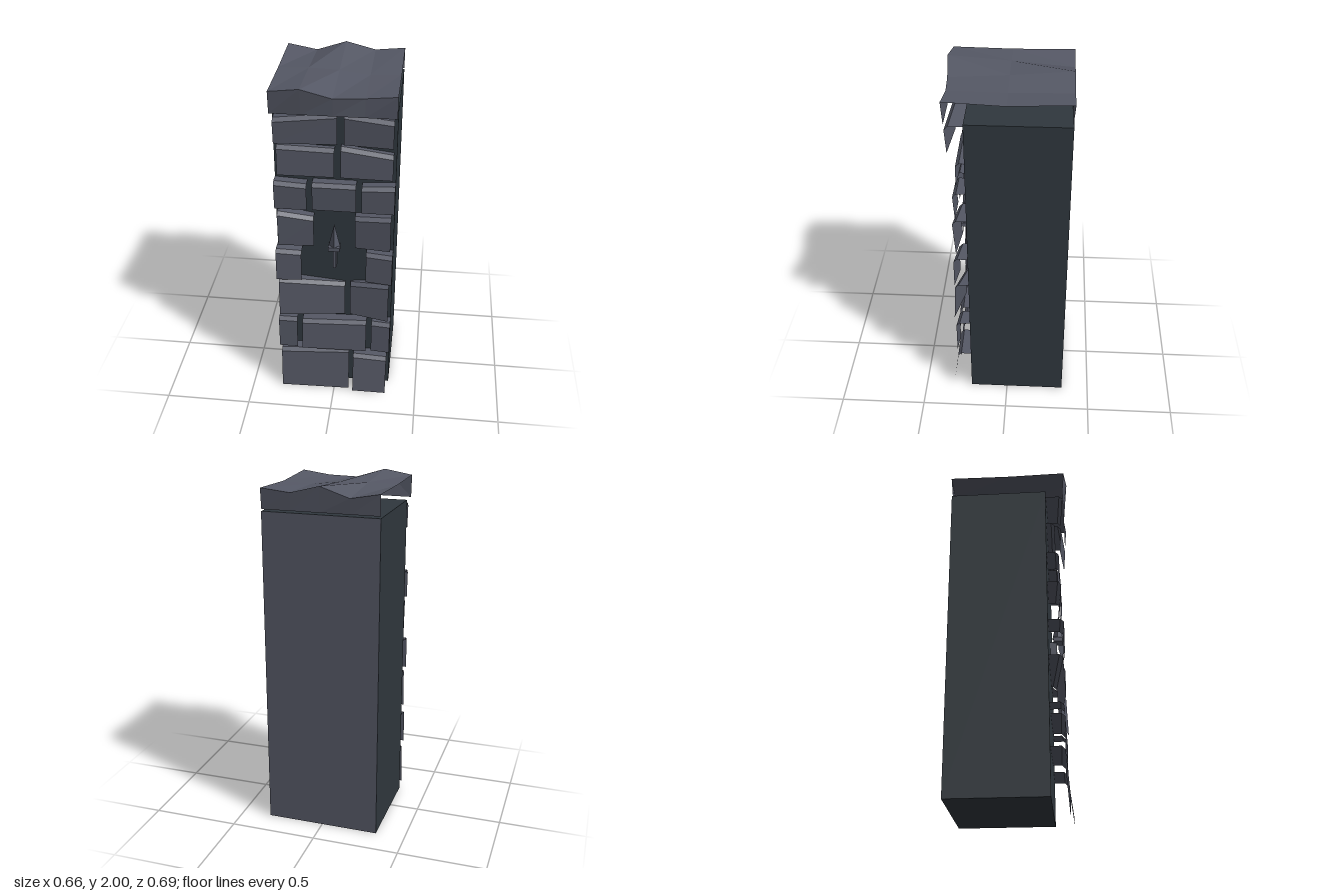
import * as THREE from 'three';

const mortar = new THREE.MeshStandardMaterial({ color: 0x2f373d });
mortar.name = 'dark mortar';
const stone = new THREE.MeshStandardMaterial({ color: 0x555865, side: THREE.DoubleSide });
stone.name = 'grey stone';

// Open flat-shaded sheet through rows of [x, y, z] points (each row runs along +x).
function sheet(name, rows) {
  const pos = [];
  for (let r = 0; r < rows.length - 1; r++) {
    for (let c = 0; c < rows[r].length - 1; c++) {
      const a = rows[r][c], b = rows[r][c + 1];
      const d = rows[r + 1][c + 1], e = rows[r + 1][c];
      pos.push(...a, ...b, ...d, ...a, ...d, ...e);
    }
  }
  const geometry = new THREE.BufferGeometry();
  geometry.setAttribute('position', new THREE.Float32BufferAttribute(pos, 3));
  geometry.computeVertexNormals();
  const mesh = new THREE.Mesh(geometry, stone);
  mesh.name = name;
  return mesh;
}

const CORE_FRONT = 0.22;

// Facing stone: front face, bevelled upper edge and a ledge back to the core.
function facingStone([x0, x1, y0, yl, yr, zl, zr, lean = 0]) {
  return sheet('facingStone', [
    [[x0, y0, zl + lean], [x1, y0, zr + lean]],
    [[x0, yl - 0.02, zl], [x1, yr - 0.02, zr]],
    [[x0, yl, zl - 0.02], [x1, yr, zr - 0.02]],
    [[x0, yl, CORE_FRONT], [x1, yr, CORE_FRONT]],
  ]);
}

export function createModel() {
  const model = new THREE.Group();
  model.name = 'stonePillar';

  // Core block, with a stone-coloured back
  const core = new THREE.Mesh(
    new THREE.BoxGeometry(0.66, 1.85, 0.56),
    [mortar, mortar, mortar, mortar, mortar, stone]
  );
  core.name = 'core';
  core.position.set(0, 0.925, -0.06);
  model.add(core);

  // Facing stones: left x, right x, bottom y, top y at each end, z at each end, lean
  const stones = [
    [-0.32, 0.09, 0, 0.27, 0.29, 0.3, 0.29, 0.02],
    [0.115, 0.315, 0, 0.26, 0.25, 0.3, 0.3, 0.03],
    [-0.33, -0.22, 0.3, 0.51, 0.51, 0.3, 0.3],
    [-0.19, 0.19, 0.3, 0.5, 0.51, 0.3, 0.29, 0.01],
    [0.22, 0.33, 0.3, 0.51, 0.51, 0.29, 0.3],
    [-0.32, 0.06, 0.545, 0.79, 0.755, 0.3, 0.25, 0.01],
    [0.09, 0.315, 0.545, 0.76, 0.79, 0.25, 0.3, 0.01],
    [-0.33, -0.185, 0.8, 1.0, 0.99, 0.31, 0.3],
    [0.18, 0.33, 0.8, 0.99, 0.99, 0.28, 0.3],
    [-0.315, -0.115, 1.02, 1.245, 1.21, 0.3, 0.28, -0.015],
    [0.115, 0.315, 1.02, 1.225, 1.24, 0.28, 0.3, -0.015],
    [-0.33, -0.15, 1.26, 1.43, 1.42, 0.29, 0.29, -0.01],
    [-0.12, 0.12, 1.26, 1.43, 1.43, 0.29, 0.29, -0.015],
    [0.15, 0.33, 1.26, 1.42, 1.43, 0.29, 0.29, -0.01],
    [-0.31, 0, 1.465, 1.64, 1.63, 0.27, 0.265],
    [0.035, 0.315, 1.465, 1.645, 1.61, 0.265, 0.27],
    [-0.315, 0.02, 1.675, 1.82, 1.85, 0.32, 0.3, -0.01],
    [0.055, 0.315, 1.675, 1.85, 1.83, 0.3, 0.32, -0.01],
  ];
  stones.forEach((s) => model.add(facingStone(s)));

  // Wavy cap, open at both sides
  const xs = [-0.33, -0.165, 0, 0.165, 0.33];
  const row = (ys, zs) => xs.map((x, i) => [x, ys[i], zs[i]]);
  const flat = (v) => xs.map(() => v);
  model.add(sheet('cap', [
    row(flat(1.85), flat(0.32)),
    row([1.975, 2.0, 1.95, 1.955, 1.975], [0.33, 0.345, 0.33, 0.32, 0.33]),
    row([1.97, 1.975, 1.97, 1.95, 1.96], flat(0)),
    row([1.975, 1.945, 2.0, 1.958, 1.975], flat(-0.345)),
    row(flat(1.86), flat(-0.335)),
  ]));

  // Small upright arrow in the recess
  const arrow = new THREE.Group();
  arrow.name = 'arrow';
  const addPart = (name, geometry, y, z) => {
    const mesh = new THREE.Mesh(geometry, stone);
    mesh.name = name;
    mesh.position.set(0, y, z);
    arrow.add(mesh);
  };
  addPart('arrowShaft', new THREE.BoxGeometry(0.016, 0.14, 0.04), 0.94, 0.24);
  addPart('arrowCollar', new THREE.BoxGeometry(0.066, 0.025, 0.055), 1.018, 0.267);
  const tip = new THREE.ConeGeometry(0.032, 0.14, 4).toNonIndexed();
  tip.computeVertexNormals();
  addPart('arrowTip', tip, 1.1, 0.265);
  model.add(arrow);

  return model;
}
